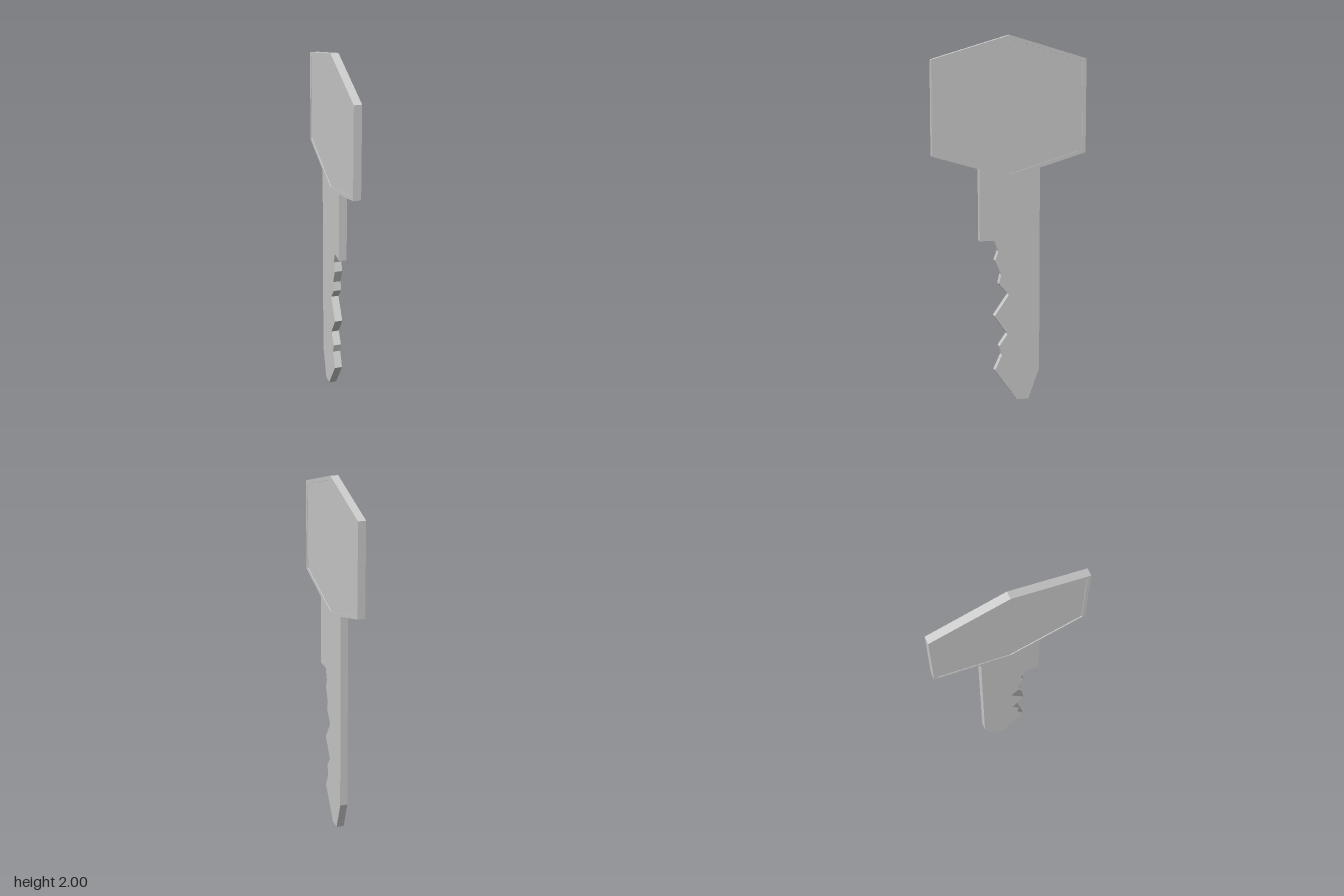
import * as THREE from 'three';

const THICKNESS = 0.042;
const RECESS = 0.004; // depth of the shallow panel on each face of the head
const RIM = 0.02;

const toPoints = (pairs) => pairs.map(([z, y]) => new THREE.Vector2(z, y));

// Hexagonal outline of the head in (z, y), pulled inwards by `inset`
function headOutline(inset) {
  const w = 0.426 - inset;
  const slope = 0.126 / 0.426;
  const drop = inset * Math.hypot(1, slope);
  const top = 2 - drop, bottom = 1.24 + drop;
  return toPoints([
    [0, top], [-w, top - w * slope], [-w, bottom + w * slope],
    [0, bottom], [w, bottom + w * slope], [w, top - w * slope],
  ]);
}

// Extrude a (z, y) shape into a slab centred on x = 0
function slab(name, shape, thickness, material) {
  const geometry = new THREE.ExtrudeGeometry(shape, { depth: thickness, bevelEnabled: false });
  geometry.translate(0, 0, -thickness / 2);
  geometry.rotateY(-Math.PI / 2);
  const mesh = new THREE.Mesh(geometry, material);
  mesh.name = name;
  return mesh;
}

export function createModel() {
  const group = new THREE.Group();
  group.name = 'key';
  const material = new THREE.MeshStandardMaterial({ color: 0xcccccc, flatShading: true });

  // Head: thin rim around a slightly recessed panel
  const rim = new THREE.Shape(headOutline(0));
  rim.holes.push(new THREE.Path(headOutline(RIM)));
  group.add(slab('headRim', rim, THICKNESS, material));
  group.add(slab('headPanel', new THREE.Shape(headOutline(RIM)), THICKNESS - 2 * RECESS, material));

  // Blade: straight back edge, pointed tip, cut teeth and a shoulder on the front edge
  const blade = new THREE.Shape(toPoints([
    [0, 1.24], [-0.167, 1.29], [-0.167, 0.17], [-0.105, 0], [-0.04, 0],
    [0.085, 0.175], [0.045, 0.26], [0.06, 0.31], [0.015, 0.375], [0.087, 0.48],
    [0.007, 0.595], [0.062, 0.66], [0.05, 0.71], [0.083, 0.79], [0.065, 0.84],
    [0.085, 0.9], [0.169, 0.9], [0.169, 1.29],
  ]));
  group.add(slab('blade', blade, THICKNESS, material));

  return group;
}
